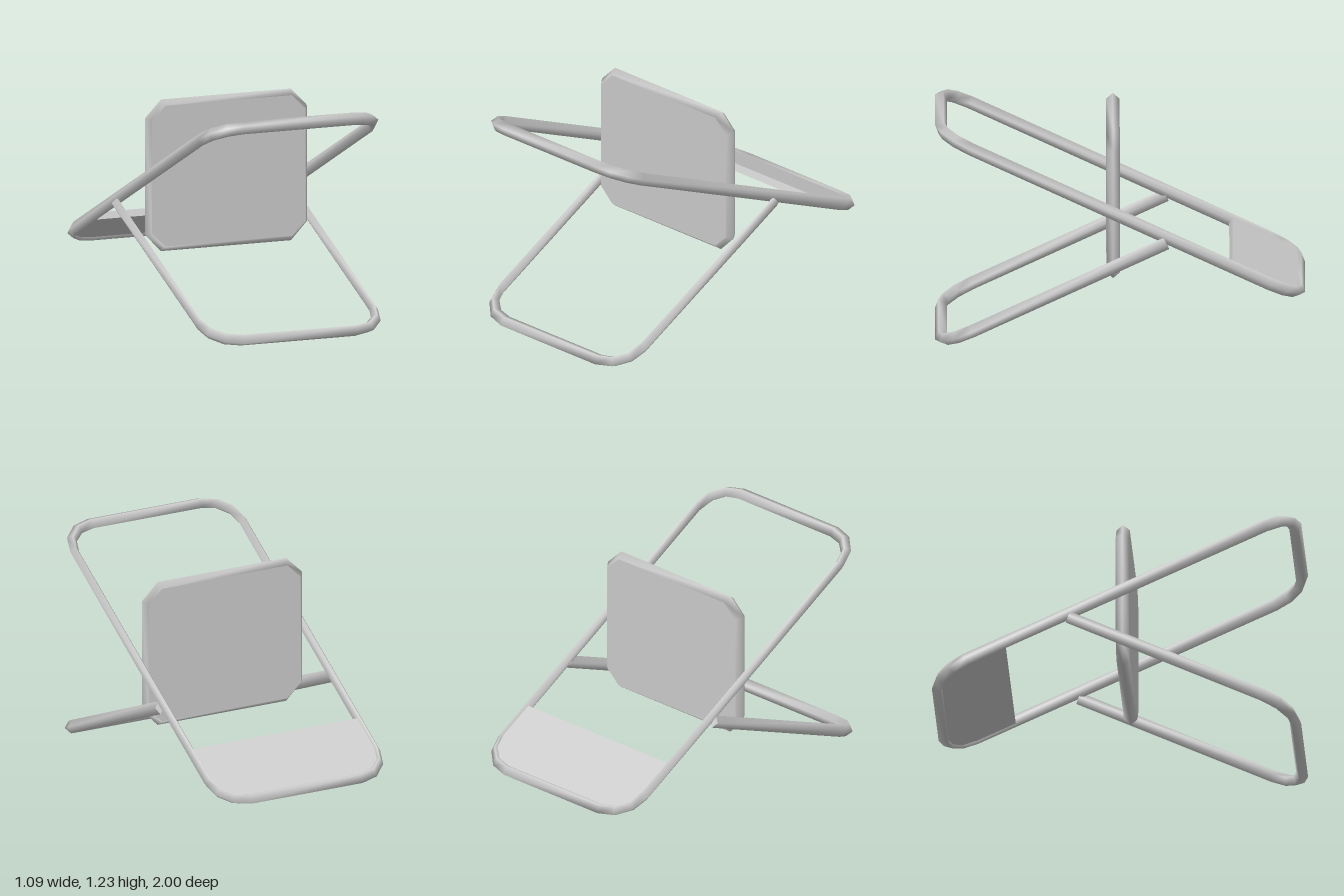
import * as THREE from 'three';

// Closed counter-clockwise outline with cut corners of n segments each
function outline(hw, hh, r, n) {
  const pts = [];
  [[1, 1], [-1, 1], [-1, -1], [1, -1]].forEach(([sx, sy], q) => {
    for (let i = 0; i <= n; i++) {
      const a = (q + i / n) * Math.PI / 2;
      pts.push(new THREE.Vector2(sx * (hw - r) + r * Math.cos(a), sy * (hh - r) + r * Math.sin(a)));
    }
  });
  return pts;
}

// Four-sided smooth bar swept along a path in the XY plane
function bar(path, closed, hx, hy, hz) {
  const pos = [], idx = [], n = path.length, S = 4;
  path.forEach((p, i) => {
    const prev = closed ? path[(i + n - 1) % n] : path[Math.max(i - 1, 0)];
    const next = closed ? path[(i + 1) % n] : path[Math.min(i + 1, n - 1)];
    const t = new THREE.Vector2();
    if (prev !== p) t.add(p.clone().sub(prev).normalize());
    if (next !== p) t.add(next.clone().sub(p).normalize());
    t.normalize();
    for (let j = 0; j < S; j++) {
      const a = j / S * Math.PI * 2;
      pos.push(p.x + t.y * hx * Math.cos(a), p.y - t.x * hy * Math.cos(a), hz * Math.sin(a));
    }
  });
  for (let i = 0; i < (closed ? n : n - 1); i++) {
    for (let j = 0; j < S; j++) {
      const k = (i + 1) % n, a = i * S + j, b = k * S + j, c = k * S + (j + 1) % S, d = i * S + (j + 1) % S;
      idx.push(a, b, c, a, c, d);
    }
  }
  if (!closed) {
    // end caps with their own corners
    const first = pos.slice(0, S * 3), last = pos.slice(-S * 3), k = n * S;
    pos.push(...first, ...last);
    idx.push(k, k + 1, k + 2, k, k + 2, k + 3, k + 4, k + 6, k + 5, k + 4, k + 7, k + 6);
  }
  const g = new THREE.BufferGeometry();
  g.setAttribute('position', new THREE.Float32BufferAttribute(pos, 3));
  g.setIndex(idx);
  g.computeVertexNormals();
  return g;
}

// Flat slab centred on the XY plane
function slab(pts, depth) {
  return new THREE.ExtrudeGeometry(new THREE.Shape(pts), { depth, bevelEnabled: false }).translate(0, 0, -depth / 2);
}

export function createModel() {
  const model = new THREE.Group();
  const grey = new THREE.MeshStandardMaterial({ color: 0xcccccc });
  grey.name = 'lightGrey';
  const tilt = THREE.MathUtils.degToRad(65);

  const part = (name, y, z, rotX) => {
    const g = new THREE.Group();
    g.name = name;
    g.position.set(0, y, z);
    g.rotation.x = rotX;
    model.add(g);
    return g;
  };
  const add = (group, name, geometry) => {
    const m = new THREE.Mesh(geometry, grey);
    m.name = name;
    group.add(m);
  };

  // Long closed frame, sloping down to the rear, with a panel at its low end
  const main = part('mainFrame', 0.75, 0, tilt);
  const loop = outline(0.505, 1.065, 0.175, 3);
  add(main, 'mainFrameBar', bar(loop, true, 0.025, 0.036, 0.035));
  const rear = loop.filter(p => p.y < 0);
  rear.push(new THREE.Vector2(0.505, -0.66), new THREE.Vector2(-0.505, -0.66));
  add(main, 'rearPanel', slab(rear, 0.04));

  // Open support frame, rising from the floor to the long frame
  const support = part('supportFrame', 0.038, 0.965, -tilt);
  const u = outline(0.52, 1, 0.18, 3).filter(p => p.y < 0).map(p => new THREE.Vector2(p.x, p.y + 1));
  u.unshift(new THREE.Vector2(-0.52, 1.34));
  u.push(new THREE.Vector2(0.52, 1.34));
  add(support, 'supportFrameBar', bar(u, false, 0.025, 0.036, 0.035));

  // Upright panel with a pointed rim
  const upright = part('uprightPanel', 0.7925, 0.038, 0);
  const edge = outline(0.457, 0.387, 0.08, 1);
  add(upright, 'uprightRim', bar(edge, true, 0.027, 0.031, 0.036));
  add(upright, 'uprightBoard', slab(edge, 0.07));

  return model;
}
